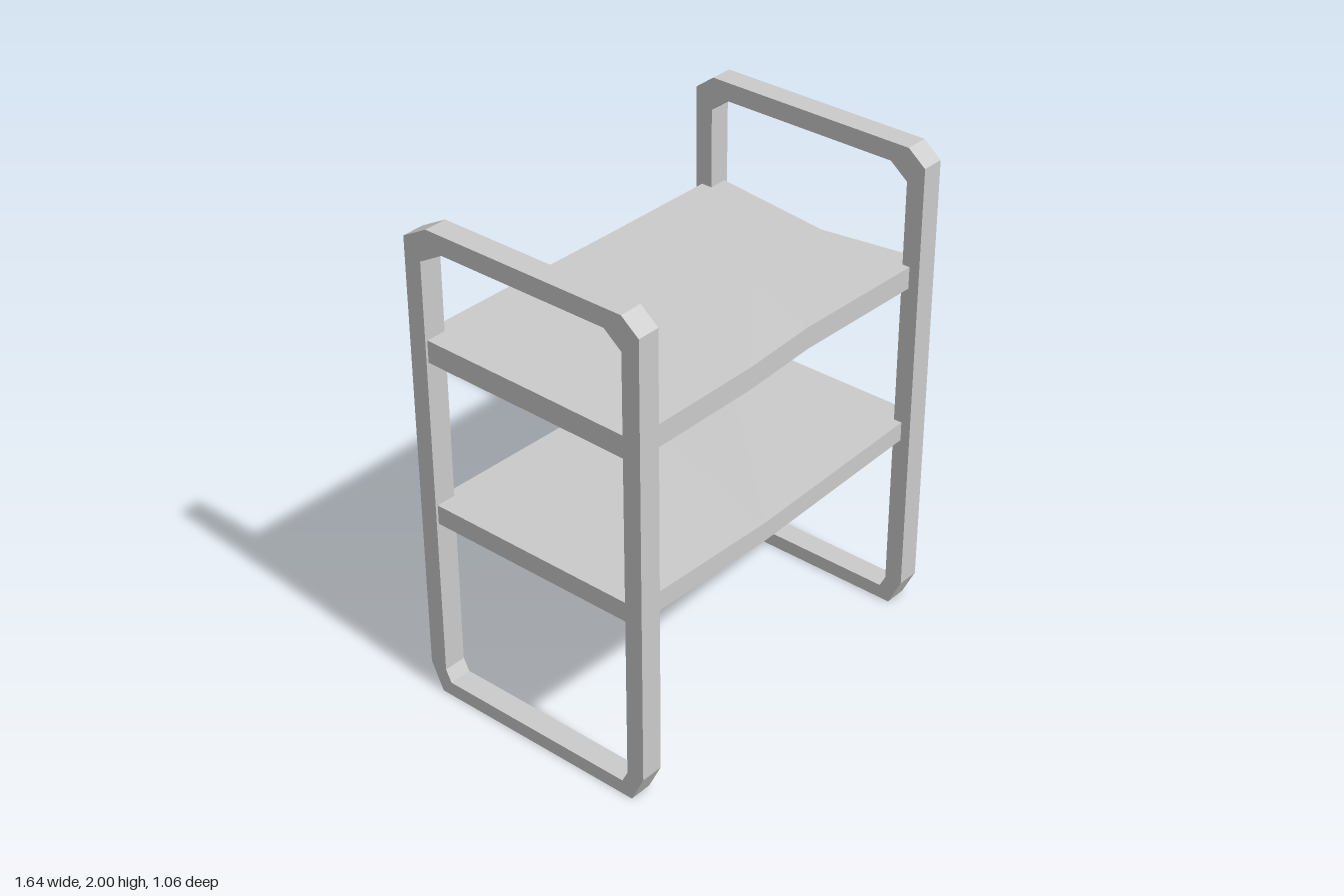
import * as THREE from 'three';

const material = new THREE.MeshStandardMaterial({ color: 0xcccccc, flatShading: true });

// Rounded-off rectangular side frame; backCut is the extra chamfer at its upper back corner.
function makeFrame(name, outerX, backCut) {
  const pts = (list) => list.map(([z, y]) => new THREE.Vector2(z, y));
  const shape = new THREE.Shape(pts([
    [-0.475, 0], [0.475, 0], [0.53, 0.115], [0.53, 1.94],
    [0.455, 2], [-0.45 + backCut, 2], [-0.53, 1.94], [-0.53, 0.115],
  ]));
  shape.holes.push(new THREE.Path(pts([
    [-0.43, 0.06], [-0.455, 0.11], [-0.455, 1.865], [-0.38 + backCut, 1.925],
    [0.38, 1.925], [0.455, 1.865], [0.455, 0.11], [0.43, 0.06],
  ])));
  const geometry = new THREE.ExtrudeGeometry(shape, { depth: 0.095, bevelEnabled: false });
  geometry.rotateY(-Math.PI / 2).translate(outerX, 0, 0);
  const mesh = new THREE.Mesh(geometry, material);
  mesh.name = name;
  return mesh;
}

// Slightly warped board: rows run back to front, each a list of [x, topY, z] from -x to +x.
function makeShelf(name, rows, thickness) {
  const nx = rows[0].length - 1;
  const nz = rows.length - 1;
  const box = new THREE.BoxGeometry(1, 1, 1, nx, 1, nz);
  const p = box.attributes.position;
  for (let i = 0; i < p.count; i++) {
    const row = rows[Math.round((p.getZ(i) + 0.5) * nz)];
    const [x, y, z] = row[Math.round((p.getX(i) + 0.5) * nx)];
    p.setXYZ(i, x, p.getY(i) > 0 ? y : y - thickness, z);
  }
  const geometry = box.toNonIndexed();
  geometry.computeVertexNormals();
  const mesh = new THREE.Mesh(geometry, material);
  mesh.name = name;
  return mesh;
}

export function createModel() {
  const model = new THREE.Group();
  model.name = 'twoTierShelf';

  model.add(makeFrame('leftFrame', 0.82, 0));
  model.add(makeFrame('rightFrame', -0.725, 0.03));

  // Lower shelf sags along a diagonal crease
  model.add(makeShelf('lowerShelf', [
    [[-0.81, 0.856, -0.49], [0.2, 0.83, -0.49], [0.81, 0.856, -0.49]],
    [[-0.81, 0.856, 0.49], [-0.1, 0.83, 0.49], [0.81, 0.856, 0.49]],
  ], 0.08));

  // Upper shelf leans forward, with a dented front edge and a notched left end
  model.add(makeShelf('upperShelf', [
    [[-0.81, 1.55, -0.505], [-0.2, 1.545, -0.503], [0.15, 1.54, -0.502], [0.81, 1.537, -0.5]],
    [[-0.81, 1.543, 0.07], [-0.2, 1.538, 0.07], [0.28, 1.528, 0.1], [0.74, 1.53, 0.07]],
    [[-0.81, 1.536, 0.49], [-0.2, 1.53, 0.49], [0.15, 1.522, 0.465], [0.81, 1.527, 0.49]],
  ], 0.09));

  return model;
}
